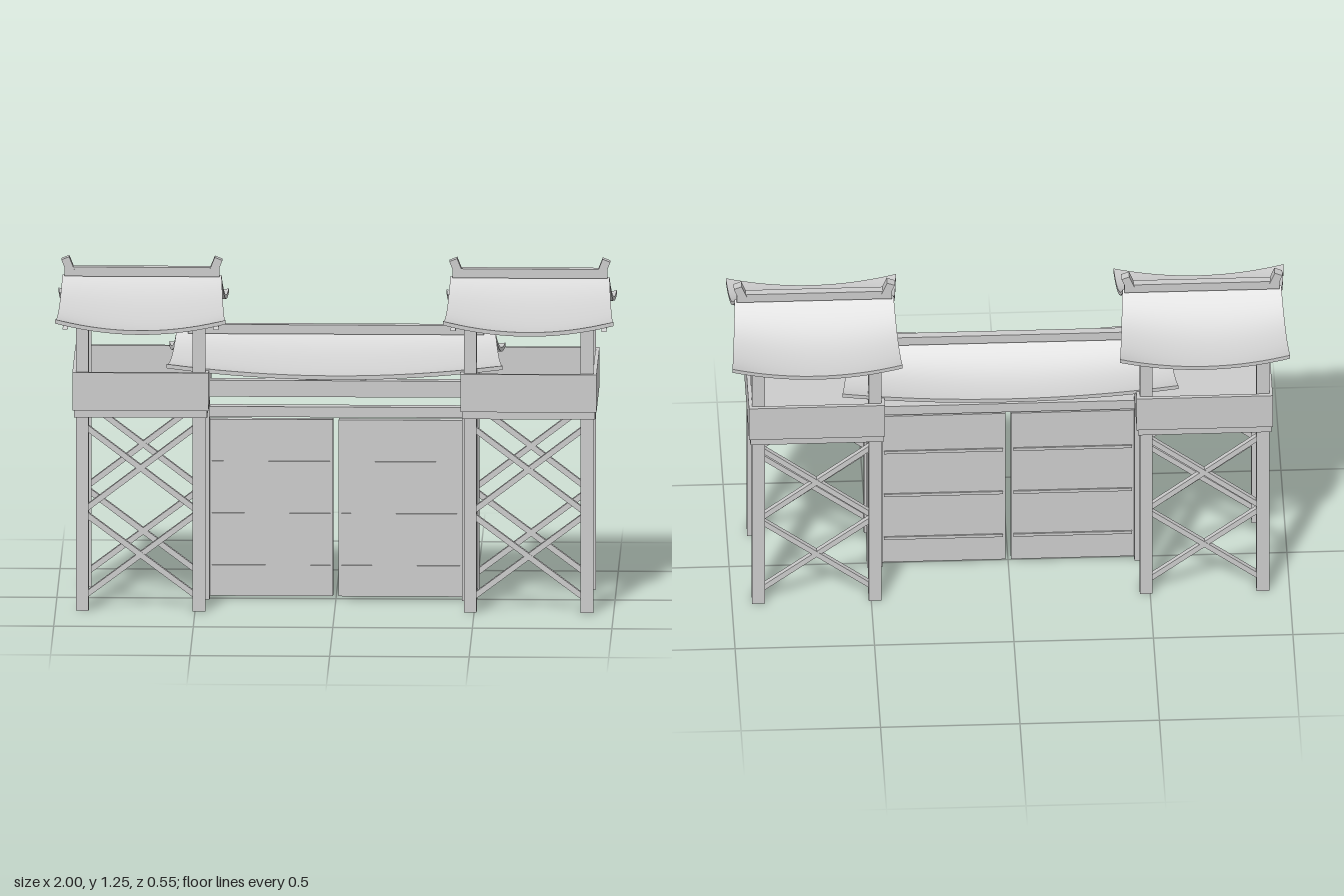
import * as THREE from 'three';

const mat = new THREE.MeshStandardMaterial({ color: 0xcccccc, side: THREE.DoubleSide });

function add(parent, name, geometry, x = 0, y = 0, z = 0) {
  const mesh = new THREE.Mesh(geometry, mat);
  mesh.name = name;
  mesh.position.set(x, y, z);
  parent.add(mesh);
  return mesh;
}

// Box given by its extents along each axis
function block(parent, name, [x0, x1], [y0, y1], [z0, z1]) {
  return add(parent, name, new THREE.BoxGeometry(x1 - x0, y1 - y0, z1 - z0),
    (x0 + x1) / 2, (y0 + y1) / 2, (z0 + z1) / 2);
}

// Height lost from ridge to eave, s = 0 at the ridge and 1 at the eave
const slope = (s) => 0.285 * s - 0.178 * s * s;

// One half of a sweeping roof: a slab bent down the slope, its eave sagging mid-span
function roofSlope(side, depth, ridgeHalf, eaveHalf, scale) {
  const g = new THREE.BoxGeometry(2, 0.015, 1, 20, 1, 14);
  const p = g.attributes.position;
  for (let i = 0; i < p.count; i++) {
    const u = p.getX(i);
    const t = p.getZ(i) + 0.5;
    const s = side > 0 ? t : 1 - t;
    const sag = 0.04 * s * s * (1 - u * u);
    p.setXYZ(i, u * (ridgeHalf + (eaveHalf - ridgeHalf) * s),
      p.getY(i) - 0.0075 - slope(s) * scale - sag, side * s * depth);
  }
  g.computeVertexNormals();
  return g;
}

// Roof with ridge beam and outward-leaning end ornaments; origin at the ridge
function roof(name, { depth, ridgeHalf, eaveHalf, scale, beamHalf, ornamentX }) {
  const g = new THREE.Group();
  g.name = name;
  for (const side of [1, -1]) {
    add(g, 'roofSlope', roofSlope(side, depth, ridgeHalf, eaveHalf, scale));
    const ornament = add(g, 'ridgeOrnament', new THREE.BoxGeometry(0.03, 0.052, 0.033),
      side * ornamentX, 0.038, 0);
    ornament.rotation.z = -side * 0.38;
  }
  block(g, 'ridgeBeam', [-beamHalf, beamHalf], [-0.004, 0.03], [-0.014, 0.014]);
  return g;
}

// Diagonal bar between two points in a plane of constant z
function brace(parent, x0, y0, x1, y1, z) {
  const bar = add(parent, 'crossBrace',
    new THREE.BoxGeometry(Math.hypot(x1 - x0, y1 - y0), 0.02, 0.02),
    (x0 + x1) / 2, (y0 + y1) / 2, z);
  bar.rotation.z = Math.atan2(y1 - y0, x1 - x0);
}

// Watch tower, centred on its own x = 0
function tower() {
  const g = new THREE.Group();
  g.name = 'tower';
  const px = 0.209, pz = 0.207;

  for (const z of [-pz, pz]) {
    for (const x of [-px, px]) {
      add(g, 'towerPost', new THREE.BoxGeometry(0.046, 1.035, 0.046), x, 0.5175, z);
    }
    for (const [y0, y1] of [[0.055, 0.35], [0.37, 0.67]]) {
      brace(g, -px, y0 - 0.01, px, y1 + 0.01, z);
      brace(g, -px, y1 + 0.01, px, y0 - 0.01, z + 0.001);
    }
  }

  // Lookout platform: floor slab and parapet
  block(g, 'platformFloor', [-0.239, 0.239], [0.71, 0.745], [-0.239, 0.239]);
  for (const s of [-1, 1]) {
    add(g, 'parapetLong', new THREE.BoxGeometry(0.488, 0.138, 0.014), 0, 0.806, s * 0.238);
    add(g, 'parapetSide', new THREE.BoxGeometry(0.014, 0.138, 0.462), s * 0.237, 0.806, 0);
  }

  // Gable panels closing the roof ends
  const half = [[0.23, 1.03], [0.2, 1.045], [0.15, 1.07], [0.08, 1.106]];
  const outline = [...half, [0, 1.166], ...half.map(([z, y]) => [-z, y]).reverse()];
  const shape = new THREE.Shape(outline.map(([z, y]) => new THREE.Vector2(z, y)));
  for (const s of [-1, 1]) {
    const geo = new THREE.ExtrudeGeometry(shape, { depth: 0.018, bevelEnabled: false });
    geo.translate(0, 0, -0.009);
    add(g, 'gable', geo, s * 0.27, 0, 0).rotation.y = Math.PI / 2;
  }

  const top = roof('towerRoof', { depth: 0.277, ridgeHalf: 0.285, eaveHalf: 0.305,
    scale: 1, beamHalf: 0.278, ornamentX: 0.265 });
  top.position.y = 1.183;
  g.add(top);
  return g;
}

// Gate between the towers
function gate() {
  const g = new THREE.Group();
  g.name = 'gate';
  for (const s of [-1, 1]) {
    add(g, 'gatePost', new THREE.BoxGeometry(0.054, 0.8, 0.054), s * 0.479, 0.4, 0);
    const door = new THREE.Group();
    door.name = 'door';
    door.position.x = s * 0.232;
    g.add(door);
    block(door, 'doorPanel', [-0.222, 0.222], [0.012, 0.658], [-0.014, 0.014]);
    for (const y of [0.12, 0.31, 0.5]) {
      add(door, 'doorBatten', new THREE.BoxGeometry(0.425, 0.012, 0.038), 0, y, 0);
    }
  }
  block(g, 'lowerBeam', [-0.46, 0.46], [0.668, 0.706], [-0.02, 0.02]);
  block(g, 'upperBeam', [-0.48, 0.48], [0.742, 0.802], [-0.02, 0.02]);
  block(g, 'centrePlaque', [-0.107, 0.107], [0.8, 0.88], [-0.009, 0.009]);

  const top = roof('gateRoof', { depth: 0.2, ridgeHalf: 0.572, eaveHalf: 0.602,
    scale: 0.72, beamHalf: 0.53, ornamentX: 0.518 });
  top.position.y = 0.975;
  g.add(top);
  return g;
}

export function createModel() {
  const model = new THREE.Group();
  model.name = 'gatehouse';
  for (const s of [-1, 1]) {
    const t = tower();
    t.name = s > 0 ? 'leftTower' : 'rightTower';
    t.position.x = s * 0.695;
    model.add(t);
  }
  model.add(gate());
  return model;
}
